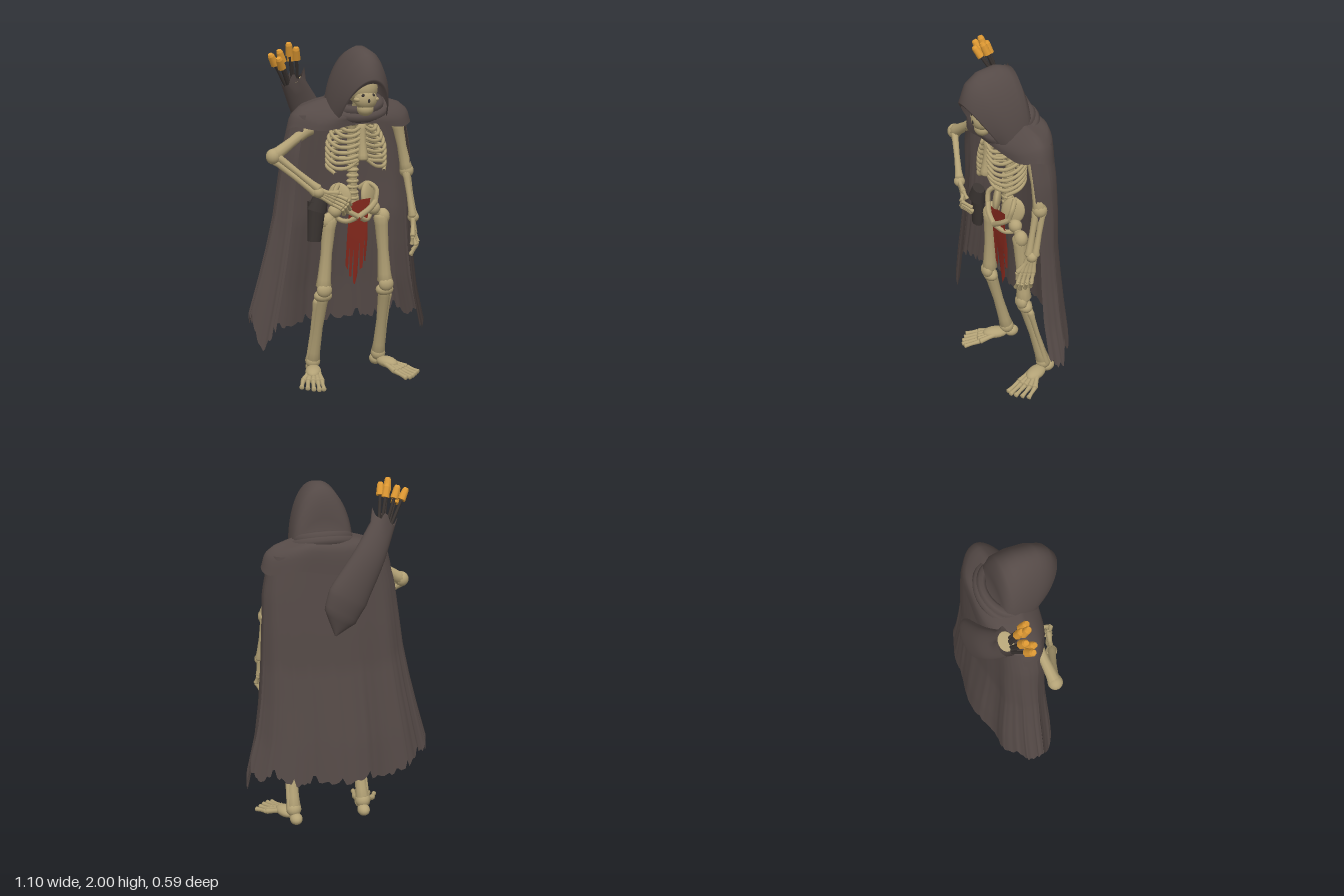
import * as THREE from 'three';
import { mergeVertices } from 'three/addons/utils/BufferGeometryUtils.js';

const flat = (name, color, double) => {
  const m = new THREE.MeshStandardMaterial({ color });
  m.name = name;
  if (double) m.side = THREE.DoubleSide;
  return m;
};
const V = (x, y, z) => new THREE.Vector3(x, y, z);
const lerp = THREE.MathUtils.lerp;

export function createModel() {
  const bone = flat('bone', 0xb3a276);
  const cloth = flat('cloak brown', 0x554a47, true);
  const dark = flat('dark leather', 0x3a3431, true);
  const orange = flat('fletching orange', 0xe09a33, true);
  const red = flat('red cloth', 0x87291d, true);

  let seed = 7;
  const rand = () => (seed = (seed * 16807) % 2147483647) / 2147483647;
  const root = new THREE.Group();
  root.name = 'hoodedSkeleton';
  const part = (name) => {
    const g = new THREE.Group();
    g.name = name;
    root.add(g);
    return g;
  };
  const mesh = (parent, name, geo, mat) => {
    const m = new THREE.Mesh(geo, mat);
    m.name = name;
    parent.add(m);
    return m;
  };

  // Grid surface from a rule fn(u, v)
  const surface = (fn, nu, nv) => {
    const pos = [], idx = [];
    for (let j = 0; j <= nv; j++) for (let i = 0; i <= nu; i++) pos.push(...fn(i / nu, j / nv).toArray());
    for (let j = 0; j < nv; j++) for (let i = 0; i < nu; i++) {
      const a = j * (nu + 1) + i, b = a + nu + 1;
      idx.push(a, b, a + 1, a + 1, b, b + 1);
    }
    let g = new THREE.BufferGeometry();
    g.setAttribute('position', new THREE.Float32BufferAttribute(pos, 3));
    g.setIndex(idx);
    g = mergeVertices(g, 1e-5);
    g.computeVertexNormals();
    return g;
  };
  // Interpolates rows of numbers at t in 0..1
  const rowAt = (rows, t) => {
    const f = t * (rows.length - 1), i = Math.min(Math.floor(f), rows.length - 2);
    return rows[i].map((v, k) => lerp(v, rows[i + 1][k], f - i));
  };
  const power = (v, e) => Math.sign(v) * Math.abs(v) ** e;
  // Long bone with knobbed ends
  const limb = (parent, name, a, b, r, e, mat = bone) => {
    const prof = [[0, 0], [e * 0.7, 0.005], [e, 0.05], [r * 1.2, 0.15], [r, 0.5], [r * 1.2, 0.85], [e, 0.95], [e * 0.7, 0.995], [0, 1]];
    const len = a.distanceTo(b);
    const m = mesh(parent, name, new THREE.LatheGeometry(prof.map(([x, y]) => new THREE.Vector2(x, y * len)), 10), mat);
    m.position.copy(a);
    m.quaternion.setFromUnitVectors(V(0, 1, 0), b.clone().sub(a).normalize());
    return m;
  };
  const tube = (parent, name, pts, r, n = 14, mat = bone) =>
    mesh(parent, name, new THREE.TubeGeometry(new THREE.CatmullRomCurve3(pts), n, r, 6), mat);
  const ball = (parent, name, p, sx, sy, sz, mat = bone) => {
    const m = mesh(parent, name, new THREE.SphereGeometry(1, 16, 12), mat);
    m.position.copy(p);
    m.scale.set(sx, sy, sz);
    return m;
  };

  // Cloak: open sheet wrapped round the back, with broad folds and a torn hem
  const cols = 128;
  const hemLine = [0.36, 0.22, 0.43, 0.4, 0.36, 0.37, 0.31, 0.27, 0.29, 0.27, 0.3, 0.28, 0.34, 0.3, 0.35, 0.21, 0.31].map((y) => [y]);
  const hem = Array.from({ length: cols + 1 }, (_, i) =>
    rowAt(hemLine, i / cols)[0] + (i % 4 < 2 ? 0.055 : 0.015) * rand() * (i % 8 < 4 ? 1 : 0.6));
  const levels = [ // rx, cx, zc, rz
    [0.335, 0.045, -0.025, 0.135], [0.385, 0.04, -0.03, 0.145], [0.405, 0.032, -0.045, 0.145], [0.425, 0.022, -0.05, 0.15],
    [0.455, 0.01, -0.06, 0.17], [0.495, 0, -0.07, 0.19], [0.55, 0, -0.08, 0.2],
  ];
  mesh(root, 'cloak', surface((u, v) => {
    const [rx, cx, zc, rz] = rowAt(levels, v);
    const a = THREE.MathUtils.degToRad(lerp(-130, 118 - 12 * Math.min(1, v * 2), u));
    const s = Math.sin(a), c = Math.cos(a);
    const fold = 1 + v * 0.07 * Math.sin(a * 8 + 1 + v) + 0.02 * Math.sin(a * 5);
    return V(
      cx + rx * power(s, lerp(0.6, 0.9, v)),
      lerp(1.6, hem[Math.round(u * cols)], v),
      zc - rz * power(c, c > 0 ? lerp(0.75, 1.25, v) : 0.8) * fold + 0.012 * v * Math.sin(a * 11) * Math.abs(s));
  }, cols, 28), cloth);

  // Shoulder mantle: rx, rz, zc, side y, front y
  const mantle = [
    [0.13, 0.13, 0.02, 1.69, 1.6], [0.21, 0.15, 0, 1.675, 1.585], [0.3, 0.16, -0.015, 1.645, 1.57],
    [0.355, 0.163, -0.02, 1.6, 1.555], [0.378, 0.163, -0.022, 1.51, 1.535],
  ];
  mesh(root, 'mantle', surface((u, v) => {
    const [rx, rz, zc, ys, yf] = rowAt(mantle, v), a = u * Math.PI * 2;
    const front = Math.max(0, Math.cos(a));
    return V(0.05 + rx * power(Math.sin(a), 0.9), lerp(ys, yf, front) + 0.015 * v * Math.sin(a * 5 + 1), zc + rz * Math.cos(a) * (1 + 0.03 * v * Math.sin(a * 8)));
  }, 56, 10), cloth);

  // Rolled collar
  for (const [y, r, t] of [[1.66, 0.15, 0.03], [1.63, 0.18, 0.028]]) {
    const c = mesh(root, 'collarRoll', new THREE.TorusGeometry(r, t, 8, 32), cloth);
    c.position.set(0.07, y, 0);
    c.rotation.set(Math.PI / 2 + 0.35, 0, 0);
    c.scale.y = 0.82;
  }

  // Hood as arches from face rim to nape: zTop, yTop, half width, zBottom, yBottom
  const arches = [
    [0.275, 1.785, 0.13, 0.15, 1.6], [0.293, 1.81, 0.14, 0.13, 1.585], [0.25, 1.91, 0.16, 0.1, 1.585], [0.18, 1.96, 0.172, 0.07, 1.59],
    [0.07, 1.979, 0.178, 0.03, 1.61], [-0.015, 1.955, 0.175, -0.02, 1.62], [-0.053, 1.86, 0.16, -0.05, 1.63], [-0.065, 1.72, 0.13, -0.08, 1.63], [-0.12, 1.63, 0.11, -0.11, 1.61],
  ];
  mesh(root, 'hood', surface((u, v) => {
    const [zt, yt, w, zb, yb] = rowAt(arches, v), a = (u - 0.5) * Math.PI, s = 1 - Math.cos(a);
    return V(0.073 + w * Math.sin(a) * (0.94 + 0.08 * s), lerp(yt, yb, s), lerp(zt, zb, s));
  }, 28, 16), cloth);

  // Skull
  const skull = part('skull');
  ball(skull, 'cranium', V(0.075, 1.75, 0.11), 0.088, 0.1, 0.105);
  ball(skull, 'face', V(0.075, 1.69, 0.17), 0.066, 0.06, 0.053);
  ball(skull, 'jaw', V(0.075, 1.635, 0.165), 0.048, 0.04, 0.043);
  ball(skull, 'nose', V(0.075, 1.685, 0.22), 0.007, 0.012, 0.006, dark);
  for (const s of [-1, 1]) {
    ball(skull, 'cheekbone', V(0.075 + s * 0.052, 1.69, 0.18), 0.022, 0.014, 0.025);
    ball(skull, 'eyeSocket', V(0.075 + s * 0.028, 1.713, 0.207), 0.012, 0.01, 0.008, dark);
  }

  // Spine and rib cage
  const torso = part('ribcage');
  tube(torso, 'spine', [V(0.07, 1.7, 0.08), V(0.07, 1.58, 0.01), V(0.068, 1.42, -0.03), V(0.066, 1.25, 0), V(0.066, 1.08, 0)], 0.027, 24);
  for (let i = 0; i < 7; i++) ball(torso, 'vertebra', V(0.066, 1.1 + i * 0.033, -0.002), 0.037, 0.016, 0.033);
  limb(torso, 'breastbone', V(0.07, 1.545, 0.115), V(0.07, 1.34, 0.145), 0.024, 0.032);
  for (let i = 0; i < 9; i++) for (const s of [-1, 1]) {
    const y = 1.575 - i * 0.031, w = 0.11 + 0.065 * Math.sin(Math.min(1, i / 5) * Math.PI / 2), low = i > 5;
    const pts = [V(0.07, y, -0.035), V(0.07 + s * w * 0.65, y, -0.045), V(0.07 + s * w, y - 0.025, 0.03), V(0.07 + s * w * 0.85, y - 0.06, 0.1)];
    if (i < 8) pts.push(V(0.07 + s * w * 0.48, y - (low ? 0.055 : 0.065), 0.135));
    if (!low) pts.push(V(0.07 + s * 0.015, y - 0.045, 0.138));
    else if (i < 8) pts.push(V(0.07 + s * 0.025, 1.345, 0.14));
    tube(torso, 'rib', pts, 0.0105, 20);
  }
  limb(torso, 'leftCollarbone', V(0.09, 1.55, 0.12), V(0.34, 1.56, 0.01), 0.012, 0.018);
  limb(torso, 'rightCollarbone', V(0.05, 1.55, 0.12), V(-0.2, 1.56, 0.04), 0.012, 0.018);

  // Pelvis
  const pelvis = part('pelvis');
  ball(pelvis, 'sacrum', V(0.068, 1.08, -0.03), 0.05, 0.08, 0.027);
  for (const s of [-1, 1]) {
    const x = (k) => 0.068 + s * k;
    const wing = ball(pelvis, 'hipWing', V(x(0.087), 1.115, 0.015), 0.07, 0.082, 0.024);
    wing.rotation.set(-0.15, s * 0.65, s * -0.25);
    tube(pelvis, 'hipCrest', [V(x(0.05), 1.15, -0.03), V(x(0.09), 1.182, 0.005), V(x(0.128), 1.15, 0.045), V(x(0.118), 1.09, 0.06)], 0.015);
    tube(pelvis, 'pubicBar', [V(x(0.12), 1.085, 0.055), V(x(0.075), 1.05, 0.08), V(x(0), 1.005, 0.09)], 0.017);
    tube(pelvis, 'sitBone', [V(x(0.01), 1.0, 0.085), V(x(0.06), 0.975, 0.05), V(x(0.1), 0.99, 0.01), V(x(0.11), 1.05, 0.02)], 0.015);
    ball(pelvis, 'hipSocket', V(x(0.12), 1.035, 0.02), 0.04, 0.04, 0.038);
  }

  // Torn loincloth
  const rag = new THREE.Shape([[0, 1.09], [0.03, 1.08], [0.08, 1.1], [0.15, 1.105], [0.138, 1.0], [0.142, 0.85], [0.132, 0.72], [0.122, 0.73], [0.118, 0.86], [0.114, 0.69],
    [0.098, 0.67], [0.092, 0.84], [0.086, 0.64], [0.068, 0.585], [0.058, 0.6], [0.054, 0.82], [0.048, 0.63], [0.036, 0.64], [0.03, 0.84], [0.024, 0.68], [0.006, 0.71],
    [0.01, 0.9], [0.016, 1.02]].map(([x, y]) => new THREE.Vector2(x, y)));
  const ragGeo = new THREE.ShapeGeometry(rag), rp = ragGeo.attributes.position;
  for (let i = 0; i < rp.count; i++) rp.setZ(i, 0.025 + (rp.getY(i) - 0.6) * 0.09 + 0.006 * Math.sin(rp.getX(i) * 120));
  ragGeo.computeVertexNormals();
  mesh(root, 'loincloth', ragGeo, red);

  // Legs and feet
  const leg = (name, hip, knee, ankle, out) => {
    const g = part(name), s = Math.sign(out);
    limb(g, 'thighBone', hip, knee, 0.033, 0.046);
    ball(g, 'hipKnob', hip.clone().add(V(s * 0.012, -0.02, 0)), 0.042, 0.05, 0.04);
    limb(g, 'hipNeck', hip.clone().add(V(0, -0.01, 0)), V(0.068 + s * 0.12, 1.035, 0.02), 0.022, 0.028);
    ball(g, 'kneecap', knee.clone().add(V(0, 0, 0.02)), 0.046, 0.045, 0.032);
    ball(g, 'kneeJoint', knee.clone().add(V(0, -0.04, -0.005)), 0.055, 0.038, 0.042);
    limb(g, 'shinBone', knee.clone().add(V(0, -0.01, 0)), ankle, 0.03, 0.042);
    limb(g, 'calfBone', knee.clone().add(V(s * 0.034, -0.06, -0.02)), ankle.clone().add(V(s * 0.026, -0.015, -0.01)), 0.014, 0.022);
    ball(g, 'ankle', ankle, 0.045, 0.045, 0.045);
    ball(g, 'heel', V(ankle.x - s * 0.005, 0.042, ankle.z - 0.035), 0.037, 0.035, 0.045);
    ball(g, 'instep', V(ankle.x + out * 0.25, 0.05, ankle.z + 0.07), 0.048, 0.033, 0.08).rotation.y = s * 0.4;
    for (let i = 0; i < 5; i++) {
      const k = (i - 2) * s, long = i < 2 ? 0.29 : 0.3 - (i - 1) * 0.028;
      const a = V(ankle.x + k * 0.012 + out * 0.2, 0.055, ankle.z + 0.07);
      const b = V(ankle.x + k * 0.025 + out * 0.68, 0.028, ankle.z + long * 0.66);
      const c = V(ankle.x + k * 0.028 + out, 0.015, ankle.z + long);
      limb(g, 'footBone', a, b, 0.014, 0.018);
      limb(g, 'toe', b, c, 0.011, 0.015);
    }
  };
  leg('leftLeg', V(0.235, 1.0, 0.02), V(0.27, 0.57, 0.008), V(0.285, 0.09, -0.125), 0.12);
  leg('rightLeg', V(-0.085, 1.0, 0.02), V(-0.12, 0.57, 0.008), V(-0.14, 0.09, -0.125), -0.09);

  // Arms and hands; side sets the direction across the palm
  const arm = (name, shoulder, elbow, wrist, palm, tip, side, curl) => {
    const g = part(name), off = side.clone().multiplyScalar(0.018);
    limb(g, 'upperArmBone', shoulder, elbow, 0.028, 0.04);
    ball(g, 'elbow', elbow, 0.042, 0.044, 0.042);
    limb(g, 'forearmBone', elbow.clone().add(off), wrist.clone().add(off), 0.017, 0.026);
    limb(g, 'forearmBone', elbow.clone().sub(off), wrist.clone().sub(off), 0.016, 0.025);
    ball(g, 'wrist', wrist, 0.034, 0.032, 0.032);
    for (let i = 0; i < 4; i++) {
      const k = i - 1.5;
      const b = palm.clone().addScaledVector(side, k * 0.022), c = tip.clone().addScaledVector(side, k * 0.028);
      c.lerp(b, Math.abs(k - 0.3) * 0.1);
      const m = b.clone().lerp(c, 0.5).add(curl);
      limb(g, 'palmBone', wrist.clone().addScaledVector(side, k * 0.011), b, 0.012, 0.016);
      limb(g, 'finger', b, m, 0.01, 0.014);
      limb(g, 'fingertip', m, c, 0.009, 0.012);
    }
    const th = palm.clone().addScaledVector(side, 0.055);
    limb(g, 'thumb', wrist, th, 0.012, 0.016);
    limb(g, 'thumbTip', th, th.clone().lerp(tip, 0.4).addScaledVector(side, 0.01), 0.009, 0.013);
  };
  arm('leftArm', V(0.335, 1.54, 0.01), V(0.405, 1.24, 0), V(0.425, 0.97, 0.06), V(0.42, 0.87, 0.085), V(0.395, 0.75, 0.1), V(-0.55, 0, 0.83), V(0.02, 0, 0.015));
  arm('rightArm', V(-0.2, 1.53, 0.04), V(-0.43, 1.38, 0.06), V(-0.2, 1.18, 0.16), V(-0.11, 1.135, 0.185), V(-0.02, 1.06, 0.17), V(0.35, 0.75, 0.2), V(0.005, 0.01, 0.045));

  // Hip pouch
  const pouch = mesh(root, 'hipPouch', new THREE.CylinderGeometry(0.055, 0.04, 0.23, 10), dark);
  pouch.position.set(-0.18, 0.99, 0.05);
  pouch.scale.z = 0.7;
  pouch.rotation.z = -0.08;
  const flap = mesh(root, 'pouchFlap', new THREE.CylinderGeometry(0.045, 0.06, 0.08, 10), dark);
  flap.position.set(-0.165, 1.09, 0.06);
  flap.scale.z = 0.75;
  flap.rotation.z = -0.3;

  // Quiver: curved flattened bag with a torn mouth
  const quiver = part('quiver');
  const mid = new THREE.CatmullRomCurve3([V(-0.25, 1.775, -0.14), V(-0.14, 1.59, -0.205), V(-0.01, 1.38, -0.235), V(0.035, 1.27, -0.23), V(0.06, 1.16, -0.225)]);
  const girth = [[0.068, 0.05], [0.092, 0.058], [0.118, 0.055], [0.1, 0.045], [0.005, 0.008]];
  mesh(quiver, 'quiverBag', surface((u, v) => {
    const [w, d] = rowAt(girth, v), a = u * Math.PI * 2, p = mid.getPoint(v);
    const jag = v === 0 ? 0.045 * Math.max(0, Math.sin(a * 4 + 1)) : 0;
    return p.add(V(0.88 * w * Math.cos(a) + jag * 0.3 * Math.cos(a), 0.48 * w * Math.cos(a) + jag, d * Math.sin(a)));
  }, 32, 20), cloth);
  const lining = ball(quiver, 'quiverLining', V(-0.235, 1.77, -0.138), 0.055, 0.006, 0.042);
  lining.rotation.z = 0.5;

  // Arrows
  const tips = [[-0.4, 1.93, -0.065], [-0.36, 1.91, -0.04], [-0.345, 1.95, -0.08], [-0.3, 1.99, -0.045], [-0.285, 1.96, -0.075], [-0.26, 1.965, -0.035]];
  tips.forEach(([x, y, z], i) => {
    const a = V(-0.255 + (i - 2.5) * 0.014, 1.74, -0.13), b = V(x, y, z);
    const g = new THREE.Group();
    g.name = 'arrow';
    g.position.copy(a);
    g.quaternion.setFromUnitVectors(V(0, 1, 0), b.clone().sub(a).normalize());
    quiver.add(g);
    const len = a.distanceTo(b);
    mesh(g, 'shaft', new THREE.CylinderGeometry(0.009, 0.009, len - 0.02, 6).translate(0, len / 2 - 0.01, 0), dark);
    mesh(g, 'fletching', new THREE.CylinderGeometry(0.02, 0.024, 0.06, 8).translate(0, len - 0.04, 0), orange);
    mesh(g, 'fletchingTail', new THREE.CylinderGeometry(0.014, 0.02, 0.014, 8).translate(0, len - 0.003, 0), orange);
  });

  return root;
}
